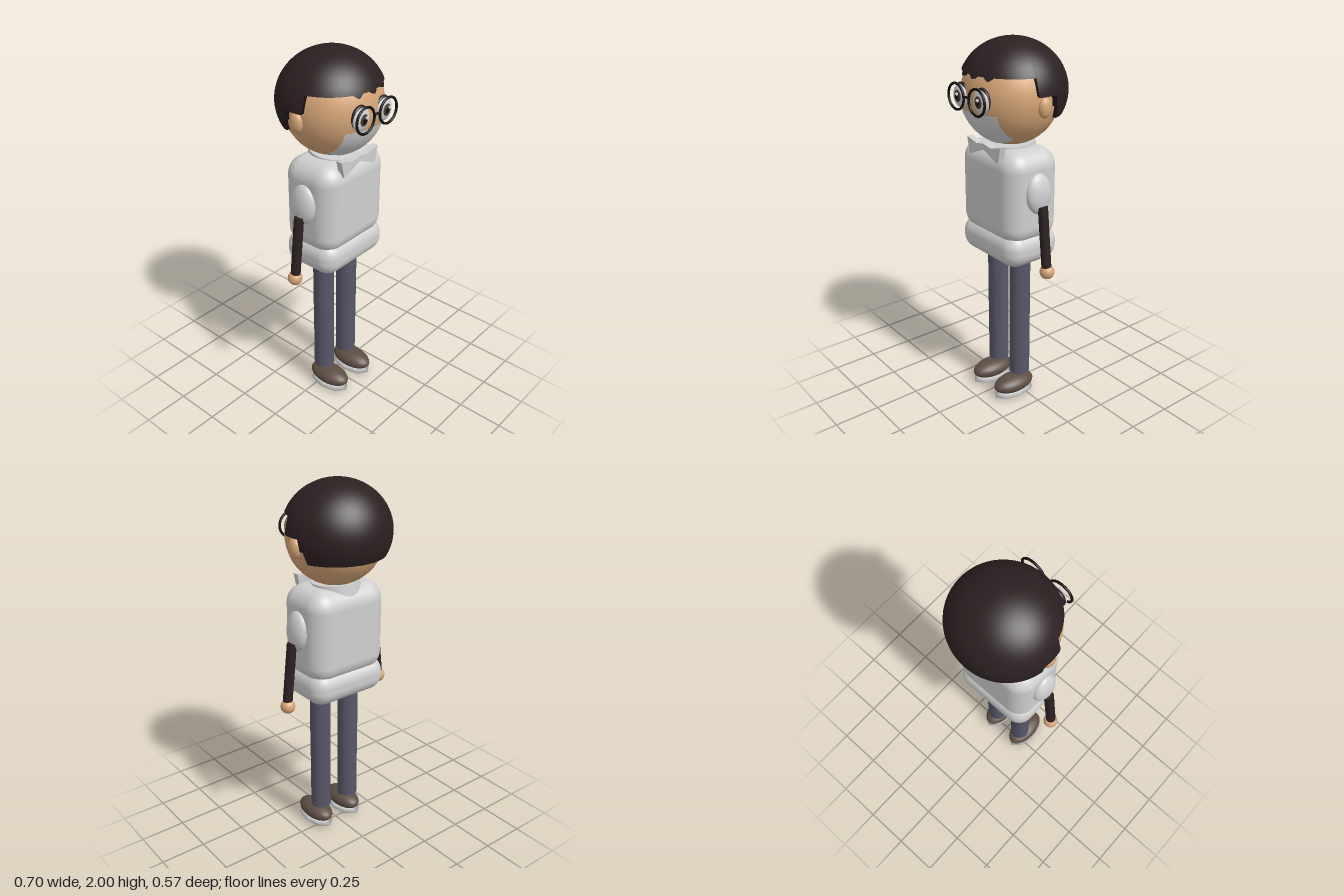
import * as THREE from 'three';
import { RoundedBoxGeometry } from 'three/addons/geometries/RoundedBoxGeometry.js';
import { ParametricGeometry } from 'three/addons/geometries/ParametricGeometry.js';

const material = (name, color, side = THREE.FrontSide) => {
  const m = new THREE.MeshStandardMaterial({ color, side });
  m.name = name;
  return m;
};

export function createModel() {
  const skin = material('skin', 0xd6a577);
  const dark = material('dark brown', 0x2c2021, THREE.DoubleSide);
  const white = material('off white', 0xcfcfcf, THREE.DoubleSide);
  const denim = material('slate trousers', 0x57576a);
  const leather = material('brown leather', 0x5e4e44);
  const irisBrown = material('iris brown', 0x4a3833);
  const black = material('black', 0x141010);

  const model = new THREE.Group();
  model.name = 'figure';

  const add = (name, geometry, mat, x = 0, y = 0, z = 0) => {
    const mesh = new THREE.Mesh(geometry, mat);
    mesh.name = name;
    mesh.position.set(x, y, z);
    model.add(mesh);
    return mesh;
  };
  const ball = (name, mat, [x, y, z], [rx, ry, rz]) =>
    add(name, new THREE.SphereGeometry(1, 32, 24).scale(rx, ry, rz), mat, x, y, z);
  // Straight rod between two points
  const rod = (name, mat, a, b, r0, r1 = r0) => {
    const from = new THREE.Vector3(...a), to = new THREE.Vector3(...b);
    const dir = to.clone().sub(from);
    const mid = from.add(to).multiplyScalar(0.5);
    const mesh = add(name, new THREE.CylinderGeometry(r1, r0, dir.length(), 24), mat, mid.x, mid.y, mid.z);
    mesh.quaternion.setFromUnitVectors(new THREE.Vector3(0, 1, 0), dir.normalize());
    return mesh;
  };

  // Head
  const headY = 1.72, headR = 0.258;
  ball('head', skin, [0, headY, 0], [headR, 0.26, 0.252]);

  // Pale lower face, hugging the front of the head
  const faceR = 0.264;
  add('lowerFace', new ParametricGeometry((u, v, p) => {
    const x = (u - 0.5) * 0.3;
    const ring = Math.sqrt(faceR * faceR - x * x);
    const top = Math.asin(-0.062 / ring);
    const a = THREE.MathUtils.lerp(-1.1, top, v);
    p.set(x, ring * Math.sin(a), ring * Math.cos(a) * 0.975);
  }, 20, 16), white, 0, headY, 0);

  // Hair cap: the hem drops in steps from fringe to temples to nape
  const hairSize = [0.284, 0.26, 0.275], hairY = 1.74;
  const hemY = (phi) => {
    const c = Math.cos(phi);
    if (c < -0.28) return 1.625;
    if (c < -0.2) return 1.69;
    if (c < 0.236) return 1.75;
    const tooth = Math.abs(Math.sin(phi)) < 0.5 ? 0.018 * Math.max(0, Math.sin(phi * 17 + 0.8)) : 0;
    return 1.84 - tooth;
  };
  const hairPoint = (phi, theta, k, p) => p.set(
    hairSize[0] * Math.sin(theta) * Math.sin(phi) * k,
    hairSize[1] * Math.cos(theta),
    hairSize[2] * Math.sin(theta) * Math.cos(phi) * k);
  const hemTheta = (phi) => Math.acos((hemY(phi) - hairY) / hairSize[1]);
  add('hair', new ParametricGeometry((u, v, p) => {
    const phi = (u - 0.5) * Math.PI * 2;
    hairPoint(phi, THREE.MathUtils.lerp(hemTheta(phi), 0.002, v), 1, p);
  }, 180, 24), dark, 0, hairY, -0.015);
  add('hairHem', new ParametricGeometry((u, v, p) => {
    const phi = (u - 0.5) * Math.PI * 2;
    hairPoint(phi, hemTheta(phi), 0.88 + 0.12 * v, p);
  }, 180, 1), dark, 0, hairY, -0.015);

  // Collar and torso
  const collar = add('collar', new THREE.CylinderGeometry(0.128, 0.135, 0.07, 40), white, 0, 1.44, 0);
  collar.rotation.x = 0.08;
  add('torso', new RoundedBoxGeometry(0.47, 0.5, 0.33, 8, 0.1), white, 0, 1.215, 0.01);
  add('shirtHem', new RoundedBoxGeometry(0.472, 0.19, 0.335, 8, 0.085), white, 0, 0.935, 0.01);

  // Bow wing outline
  const wing = new THREE.Shape([
    [0, 1.485], [0.06, 1.475], [0.14, 1.495], [0.12, 1.405], [0, 1.455],
  ].map(([x, y]) => new THREE.Vector2(x, y)));

  for (const s of [1, -1]) {
    const side = s > 0 ? 'left' : 'right';

    ball(side + 'Ear', skin, [s * 0.257, 1.692, -0.008], [0.028, 0.053, 0.038]);

    // Eye, with dark lashes behind it
    const ex = s * 0.086, ey = 1.725;
    ball(side + 'Lash', dark, [ex, ey + 0.006, 0.237], [0.056, 0.062, 0.024]);
    ball(side + 'Eye', white, [ex, ey, 0.244], [0.056, 0.06, 0.024]);
    ball(side + 'Iris', irisBrown, [ex, ey, 0.256], [0.034, 0.037, 0.015]);
    ball(side + 'Pupil', black, [ex, ey, 0.262], [0.021, 0.023, 0.011]);
    ball(side + 'EyeGlint', white, [ex + 0.008, ey + 0.012, 0.275], [0.008, 0.008, 0.008]);
    add(side + 'LensRim', new THREE.TorusGeometry(0.065, 0.0065, 12, 48), black, ex, ey, 0.273);

    const bow = add(side + 'BowWing', new THREE.ExtrudeGeometry(wing, { depth: 0.035, bevelEnabled: false }), white, 0, 0, 0.14);
    if (s < 0) {
      bow.rotation.y = Math.PI;
      bow.position.z = 0.175;
    }

    // Arm
    const shoulder = ball(side + 'Sleeve', white, [s * 0.238, 1.25, 0.01], [0.044, 0.107, 0.076]);
    shoulder.rotation.z = s * 0.08;
    rod(side + 'Arm', dark, [s * 0.312, 0.86, 0.01], [s * 0.275, 1.19, 0.01], 0.026);
    ball(side + 'Hand', skin, [s * 0.313, 0.84, 0.007], [0.039, 0.039, 0.039]);

    // Leg in two sections
    rod(side + 'Thigh', denim, [s * 0.096, 0.5, 0.013], [s * 0.096, 0.88, 0.013], 0.057);
    rod(side + 'Shin', denim, [s * 0.096, 0.135, 0.013], [s * 0.096, 0.5, 0.013], 0.0565);

    // Shoe on a faceted sole
    ball(side + 'Shoe', leather, [s * 0.1, 0.07, 0.058], [0.071, 0.05, 0.127]);
    const sole = new THREE.LatheGeometry(
      [[0, 0], [0.6, 0], [1, 0.016], [0.7, 0.028], [0, 0.03]].map(([x, y]) => new THREE.Vector2(x, y)), 8);
    sole.scale(0.073, 1, 0.13);
    add(side + 'Sole', sole, white, s * 0.1, 0, 0.058);
  }

  // Glasses bridge
  rod('glassesBridge', black, [-0.024, 1.735, 0.273], [0.024, 1.735, 0.273], 0.006);

  return model;
}
